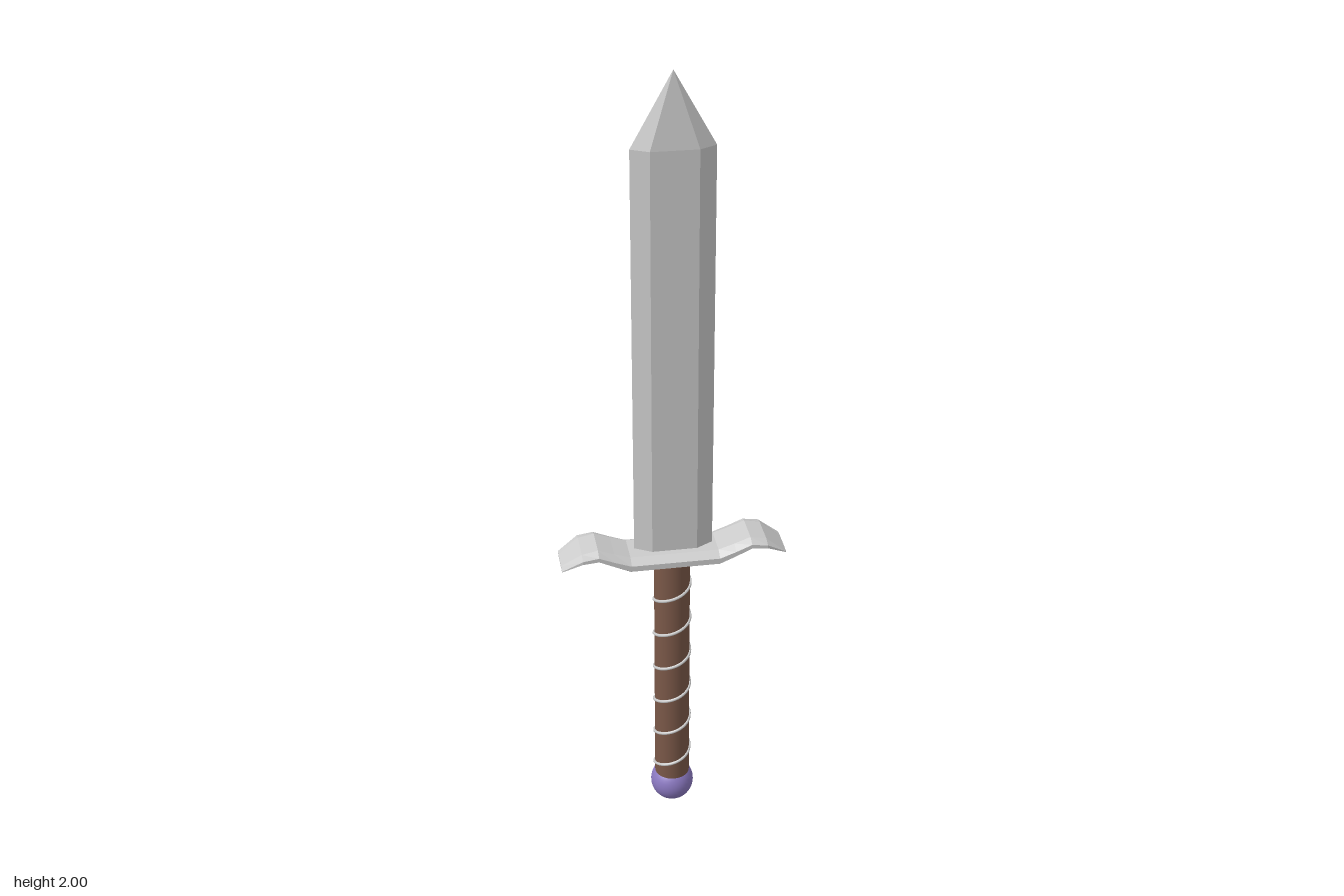
import * as THREE from 'three';

// Skins equal-length rings of [x, y, z] points (counter-clockwise seen from the last ring) and caps both ends
function loft(rings) {
  const n = rings[0].length, last = rings.length - 1, pos = [];
  const tri = (a, b, c) => pos.push(...a, ...b, ...c);
  for (let r = 0; r < last; r++) {
    for (let i = 0; i < n; i++) {
      const j = (i + 1) % n;
      const a = rings[r][i], b = rings[r][j], c = rings[r + 1][j], d = rings[r + 1][i];
      tri(a, b, c);
      tri(a, c, d);
    }
  }
  for (let i = 1; i < n - 1; i++) {
    tri(rings[0][0], rings[0][i + 1], rings[0][i]);
    tri(rings[last][0], rings[last][i], rings[last][i + 1]);
  }
  const g = new THREE.BufferGeometry();
  g.setAttribute('position', new THREE.Float32BufferAttribute(pos, 3));
  g.computeVertexNormals();
  return g;
}

export function createModel() {
  const group = new THREE.Group();
  const steel = new THREE.MeshStandardMaterial({ color: 0xcccccc });
  const facetedSteel = new THREE.MeshStandardMaterial({ color: 0xcccccc, flatShading: true });
  const leather = new THREE.MeshStandardMaterial({ color: 0x7a5848 });
  const gem = new THREE.MeshStandardMaterial({ color: 0x8a78c0 });

  const add = (name, geometry, material, y = 0) => {
    const mesh = new THREE.Mesh(geometry, material);
    mesh.name = name;
    mesh.position.y = y;
    group.add(mesh);
  };

  // Blade: flattened hexagon running up to a point
  const hexagon = [[0.098, 0], [0.056, -0.024], [-0.056, -0.024], [-0.098, 0], [-0.056, 0.024], [0.056, 0.024]];
  const bladeRing = (y, s) => hexagon.map(([x, z]) => [0.003 + x * s, y, z * s]);
  add('blade', loft([bladeRing(0.77, 1), bladeRing(1.826, 1), bladeRing(2, 0.001)]), facetedSteel);

  // Crossguard: chamfered bar swept along a wave; stations are x, top, bottom, half depth
  const half = [
    [0.11, 0.795, 0.753, 0.063],
    [0.15, 0.808, 0.772, 0.063],
    [0.19, 0.823, 0.793, 0.063],
    [0.23, 0.815, 0.792, 0.063],
    [0.28, 0.778, 0.772, 0.048],
  ];
  const stations = [...half.map(([x, ...rest]) => [-x, ...rest]).reverse(), ...half];
  const guardRing = ([x, top, bottom, w]) => {
    const h = top - bottom, c = w - 0.023;
    return [
      [x, bottom, c], [x, bottom, -c], [x, bottom + h * 0.35, -w], [x, top - h * 0.3, -w],
      [x, top, -c], [x, top, c], [x, top - h * 0.3, w], [x, bottom + h * 0.35, w],
    ];
  };
  add('crossguard', loft(stations.map(guardRing)), facetedSteel);

  // Grip
  add('grip', new THREE.CylinderGeometry(0.045, 0.045, 0.69, 32), leather, 0.415);

  // Wire wound around the grip
  const pitch = 0.104, y0 = 0.093, y1 = 0.755, points = [];
  for (let i = 0; i <= 160; i++) {
    const y = y0 + (y1 - y0) * i / 160;
    const angle = (y - 0.664) / pitch * Math.PI * 2;
    points.push(new THREE.Vector3(Math.sin(angle) * 0.046, y, Math.cos(angle) * 0.046));
  }
  add('gripWire', new THREE.TubeGeometry(new THREE.CatmullRomCurve3(points), 240, 0.004, 6), steel);

  // Pommel
  add('pommel', new THREE.SphereGeometry(0.056, 32, 20), gem, 0.056);

  return group;
}
